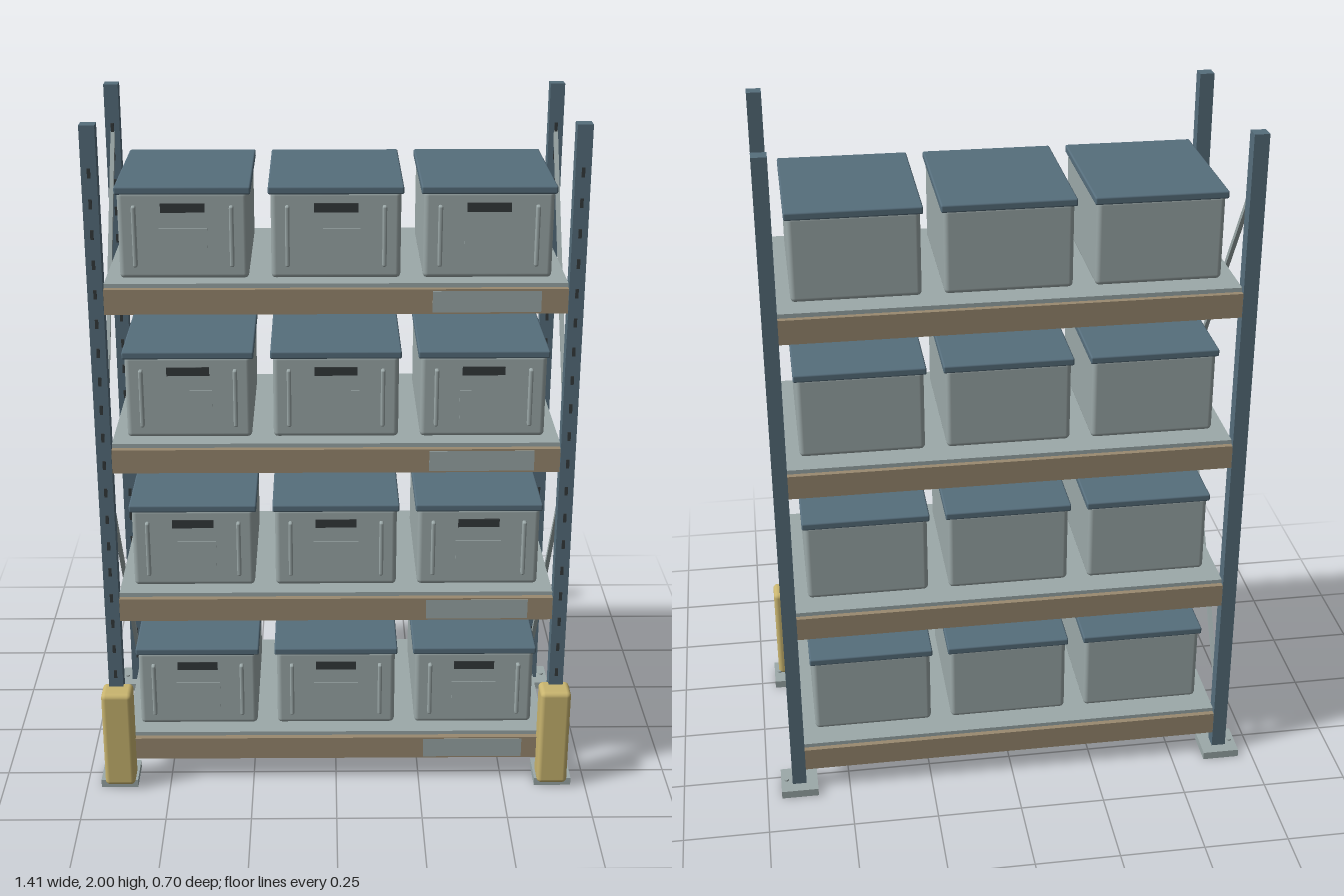
import * as THREE from 'three';
import { RoundedBoxGeometry } from 'three/addons/geometries/RoundedBoxGeometry.js';

const mat = (name, color) => {
  const m = new THREE.MeshStandardMaterial({ color });
  m.name = name;
  return m;
};

export function createModel() {
  const blue = mat('slate blue', 0x566e7c);
  const grey = mat('pale grey', 0x9ca9a9);
  const tan = mat('tan', 0x9a8a70);
  const yellow = mat('yellow', 0xc9b56f);
  const dark = mat('charcoal', 0x34393b);

  const root = new THREE.Group();
  root.name = 'storageRack';

  const add = (parent, name, geo, material, x, y, z) => {
    const mesh = new THREE.Mesh(geo, material);
    mesh.name = name;
    mesh.position.set(x, y, z);
    parent.add(mesh);
    return mesh;
  };
  const box = (w, h, d) => new THREE.BoxGeometry(w, h, d);
  const rounded = (w, h, d, r) => new RoundedBoxGeometry(w, h, d, 3, r);

  const POST_X = 0.652, FRONT_Z = 0.275, BACK_Z = -0.297, POST_W = 0.042;

  // Uprights with base plates, bolts and punched slots
  const postGeo = box(POST_W, 1.98, POST_W);
  const footGeo = box(0.11, 0.024, 0.11);
  const boltGeo = new THREE.CylinderGeometry(0.007, 0.007, 0.006, 12);
  const slotGeo = box(0.009, 0.026, 0.004);
  for (const side of [-1, 1]) {
    for (const z of [FRONT_Z, BACK_Z]) {
      const upright = new THREE.Group();
      upright.name = 'upright';
      upright.position.set(side * POST_X, 0, z);
      root.add(upright);
      add(upright, 'post', postGeo, blue, 0, 1.01, 0);
      add(upright, 'basePlate', footGeo, grey, 0, 0.012, 0);
      add(upright, 'bolt', boltGeo, grey, side * 0.039, 0.026, 0);
      for (let y = 0.12; y < 1.9; y += 0.0835) {
        add(upright, 'slot', slotGeo, dark, 0, y, POST_W / 2 + 0.001);
      }
    }
    // Impact guard on the front post
    add(root, 'postGuard', rounded(0.09, 0.31, 0.08, 0.014), yellow, side * 0.648, 0.172, 0.31);

    // Diagonal braces in the end frame
    for (const [y0, y1] of [[1.0, 0.145], [1.045, 1.865]]) {
      const z0 = 0.26, z1 = -0.285;
      const length = Math.hypot(z1 - z0, y1 - y0);
      const brace = add(root, 'diagonalBrace', box(0.012, length, 0.014), grey,
        side * POST_X, (y0 + y1) / 2, (z0 + z1) / 2);
      brace.rotation.x = Math.atan2(z1 - z0, y1 - y0);
    }
  }

  // One lidded bin, standing on y = 0
  const bodyGeo = rounded(0.354, 0.245, 0.448, 0.014);
  const lidGeo = rounded(0.368, 0.022, 0.457, 0.005);
  const ribGeo = rounded(0.012, 0.17, 0.022, 0.005);
  const gripGeo = box(0.12, 0.025, 0.006);
  const cardGeo = box(0.132, 0.085, 0.004);
  const makeBin = () => {
    const bin = new THREE.Group();
    bin.name = 'bin';
    add(bin, 'binBody', bodyGeo, grey, 0, 0.1225, -0.004);
    add(bin, 'binLid', lidGeo, blue, 0, 0.247, -0.006);
    add(bin, 'binGrip', gripGeo, dark, 0, 0.2, 0.221);
    add(bin, 'binCard', cardGeo, grey, 0, 0.1, 0.221);
    for (const s of [-1, 1]) add(bin, 'binRib', ribGeo, grey, s * 0.132, 0.122, 0.225);
    return bin;
  };

  // Shelf levels: deck, front and back beams, label plate, three bins
  const deckGeo = box(1.262, 0.02, 0.575);
  const beamGeo = box(1.262, 0.07, 0.018);
  const labelGeo = box(0.296, 0.06, 0.004);
  for (let i = 0; i < 4; i++) {
    const shelf = new THREE.Group();
    shelf.name = 'shelf';
    shelf.position.y = 0.145 + i * 0.469;
    root.add(shelf);
    add(shelf, 'deck', deckGeo, grey, 0, 0.001, -0.014);
    add(shelf, 'frontBeam', beamGeo, tan, 0, -0.036, 0.282);
    add(shelf, 'backBeam', beamGeo, tan, 0, -0.036, -0.308);
    add(shelf, 'beamLabel', labelGeo, grey, 0.41, -0.036, 0.291);
    for (const x of [-0.415, 0, 0.415]) {
      const bin = makeBin();
      bin.position.set(x, 0.008, 0);
      shelf.add(bin);
    }
  }
  return root;
}
